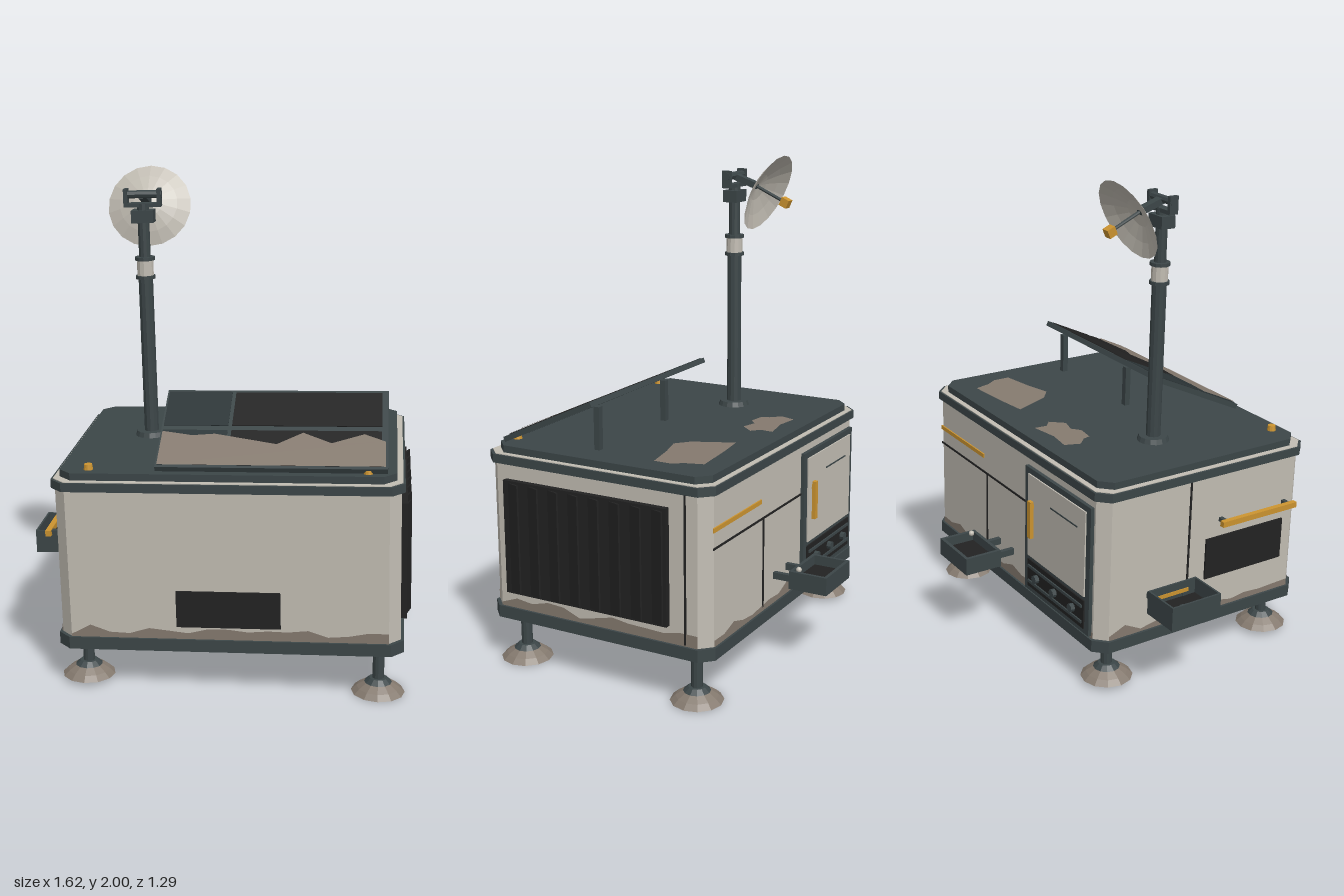
import * as THREE from 'three';

const mat = (name, color) => Object.assign(new THREE.MeshStandardMaterial({ color }), { name });

export function createModel() {
  const light = mat('weathered white', 0xc2bdb3);
  const slate = mat('dark slate', 0x3c4648);
  const deep = mat('deep slate', 0x2c3537);
  const black = mat('black', 0x222222);
  const dirt = mat('dirt', 0x857a6f);
  const orange = mat('orange', 0xcc9430);
  light.side = THREE.DoubleSide;
  dirt.side = THREE.DoubleSide;

  // Helpers
  const flat = (geo) => {
    const g = geo.index ? geo.toNonIndexed() : geo;
    g.computeVertexNormals();
    return g;
  };
  const add = (parent, name, geo, material, x = 0, y = 0, z = 0) => {
    const m = new THREE.Mesh(geo, material);
    m.name = name;
    m.position.set(x, y, z);
    parent.add(m);
    return m;
  };
  const group = (parent, name, x = 0, y = 0, z = 0) => {
    const g = new THREE.Group();
    g.name = name;
    g.position.set(x, y, z);
    parent.add(g);
    return g;
  };
  const box = (p, name, m, w, h, d, x, y, z) => add(p, name, new THREE.BoxGeometry(w, h, d), m, x, y, z);
  const cyl = (p, name, m, r1, r2, h, x, y, z, n = 12) =>
    add(p, name, flat(new THREE.CylinderGeometry(r1, r2, h, n)), m, x, y, z);
  const outline = (pts) => new THREE.Shape(pts.map(([x, y]) => new THREE.Vector2(x, y)));
  // Upright prism with chamfered corners
  const prism = (p, name, m, hx, hz, c, y0, y1) => {
    const s = outline([[-hx + c, -hz], [hx - c, -hz], [hx, -hz + c], [hx, hz - c],
      [hx - c, hz], [-hx + c, hz], [-hx, hz - c], [-hx, -hz + c]]);
    const g = new THREE.ExtrudeGeometry(s, { depth: y1 - y0, bevelEnabled: false });
    return add(p, name, g.rotateX(-Math.PI / 2), m, 0, y0, 0);
  };
  // Flat patch lying on a horizontal surface, points given as x, z
  const patch = (p, name, m, pts, y) =>
    add(p, name, new THREE.ShapeGeometry(outline(pts.map(([x, z]) => [x, -z]))).rotateX(-Math.PI / 2), m, 0, y, 0);
  let seed = 7;
  const rnd = () => (seed = (seed * 16807) % 2147483647) / 2147483647;

  const root = new THREE.Group();
  root.name = 'fieldUnit';

  // Feet: sunk plates with a mound of soil around each
  for (const [x, y] of [[-0.48, 0.016], [0.69, 0]]) {
    for (const z of [0.52, -0.29]) {
      const f = group(root, 'foot', x, y, z);
      cyl(f, 'footPlate', slate, 0.07, 0.075, 0.03, 0, 0.015, 0);
      cyl(f, 'footCollar', slate, 0.035, 0.062, 0.025, 0, 0.0475, 0);
      cyl(f, 'leg', slate, 0.023, 0.023, 0.17, 0, 0.135, 0);
      const mound = new THREE.LatheGeometry([new THREE.Vector2(0.107, 0.002), new THREE.Vector2(0.085, 0.022),
        new THREE.Vector2(0.055, 0.042)], 12);
      add(f, 'soilMound', flat(mound), dirt);
    }
  }

  // Cabinet, settled at a slight tilt
  const unit = group(root, 'cabinet', 0.107, 0, 0.114);
  unit.rotation.set(0.013, 0, 0.0245);
  prism(unit, 'base', slate, 0.685, 0.515, 0.05, 0.19, 0.24);
  prism(unit, 'walls', light, 0.672, 0.503, 0.045, 0.24, 0.85);
  prism(unit, 'rim', slate, 0.686, 0.517, 0.05, 0.848, 0.883);
  prism(unit, 'rimSeal', light, 0.678, 0.51, 0.05, 0.883, 0.886);
  prism(unit, 'roof', slate, 0.655, 0.487, 0.05, 0.884, 0.915);
  patch(unit, 'bellyPlate', light, [[0.66, -0.47], [0.66, 0.49], [-0.64, 0.49]], 0.188);
  patch(unit, 'roofDirt', dirt, [[-0.246, -0.409], [-0.146, -0.396], [-0.028, -0.417], [-0.033, -0.361],
    [0.002, -0.33], [-0.046, -0.274], [-0.111, -0.291], [-0.146, -0.261], [-0.22, -0.27], [-0.229, -0.304],
    [-0.268, -0.343]], 0.918);
  patch(unit, 'roofDirt', dirt, [[0.185, -0.361], [0.31, -0.378], [0.506, -0.396], [0.528, -0.322],
    [0.558, -0.278], [0.558, -0.204], [0.419, -0.178], [0.315, -0.148], [0.258, -0.196]], 0.918);
  cyl(unit, 'beacon', orange, 0.016, 0.019, 0.022, -0.54, 0.926, 0.434);
  cyl(unit, 'beacon', orange, 0.016, 0.019, 0.016, 0.545, 0.921, 0.447);

  // Wall groups: local +z points outwards; each gets a ragged dirt line
  const wall = (name, angle, dist, half) => {
    const g = group(unit, name, Math.sin(angle) * dist, 0, Math.cos(angle) * dist);
    g.rotation.y = angle;
    const pts = [[-half, 0.24]];
    for (let i = 0, n = Math.round(half * 26); i <= n; i++) {
      pts.push([-half + (2 * half * i) / n, 0.25 + 0.045 * rnd()]);
    }
    pts.push([half, 0.24]);
    add(g, 'dirtLine', new THREE.ShapeGeometry(outline(pts)), dirt, 0, 0, 0.003);
    return g;
  };
  const front = wall('frontWall', 0, 0.503, 0.627);
  const right = wall('leftSideWall', Math.PI / 2, 0.672, 0.458);
  const back = wall('backWall', Math.PI, 0.503, 0.627);
  const left = wall('rightSideWall', -Math.PI / 2, 0.672, 0.458);

  box(front, 'frontVent', black, 0.41, 0.15, 0.008, 0.002, 0.367, 0.004);

  // Large louvred radiator
  box(right, 'radiator', black, 0.75, 0.475, 0.024, -0.04, 0.548, 0.012);
  for (let i = 0; i < 8; i++) {
    const s = box(right, 'radiatorSlat', black, 0.07, 0.455, 0.008, -0.37 + i * 0.0945, 0.548, 0.026);
    s.rotation.y = -0.3;
  }
  box(right, 'seam', black, 0.008, 0.6, 0.004, 0.405, 0.545, 0.002);

  // Service door
  const door = group(back, 'serviceDoor', 0.372, 0, 0);
  box(door, 'doorFrame', slate, 0.49, 0.56, 0.016, 0, 0.53, 0.008);
  box(door, 'doorPanel', light, 0.43, 0.37, 0.008, 0, 0.6, 0.018);
  box(door, 'doorSeam', slate, 0.2, 0.006, 0.003, 0.06, 0.7, 0.023);
  box(door, 'controlPanel', black, 0.43, 0.125, 0.008, 0, 0.335, 0.018);
  for (const y of [0.3, 0.37]) box(door, 'controlRail', slate, 0.41, 0.012, 0.012, 0, y, 0.022);
  for (const x of [-0.137, 0, 0.138]) {
    cyl(door, 'controlKnob', slate, 0.018, 0.018, 0.024, x, 0.335, 0.028, 8).rotation.x = Math.PI / 2;
  }
  box(door, 'doorHandle', orange, 0.024, 0.165, 0.016, -0.175, 0.595, 0.034);
  for (const y of [0.535, 0.655]) box(door, 'handlePost', orange, 0.016, 0.018, 0.02, -0.175, y, 0.018);

  // Back wall panel lines and marker stripe
  box(back, 'markerStripe', orange, 0.39, 0.018, 0.006, -0.44, 0.71, 0.003);
  box(back, 'seam', black, 0.76, 0.008, 0.004, -0.255, 0.635, 0.002);
  box(back, 'seam', black, 0.008, 0.38, 0.004, -0.22, 0.445, 0.002);

  // Side vent, seam and grab rail
  box(left, 'sideVent', black, 0.4, 0.18, 0.008, 0.206, 0.48, 0.004);
  box(left, 'seam', black, 0.008, 0.6, 0.004, -0.08, 0.545, 0.002);
  box(left, 'grabRail', orange, 0.385, 0.024, 0.022, 0.243, 0.645, 0.045);
  for (const x of [0.078, 0.408]) box(left, 'railPost', slate, 0.018, 0.016, 0.045, x, 0.645, 0.018);

  // Open trays carried on two arms: w along the wall, d outwards
  const tray = (p, x, y, w, h, d, rim, armX) => {
    const t = group(p, 'tray', x, y, 0.178 - 0.002);
    const rect = (a, b) => [[-a, -b], [a, -b], [a, b], [-a, b]];
    const s = outline(rect(w / 2, d / 2));
    s.holes.push(new THREE.Path(rect(w / 2 - rim, d / 2 - rim).reverse().map(([a, b]) => new THREE.Vector2(a, b))));
    const g = new THREE.ExtrudeGeometry(s, { depth: h, bevelEnabled: false }).rotateX(-Math.PI / 2);
    add(t, 'trayWalls', g, slate, 0, -h / 2, 0);
    box(t, 'trayBottom', slate, w - 0.002, 0.01, d - 0.002, 0, -h / 2 + 0.006, 0);
    box(t, 'trayFloor', black, w - 2 * rim, 0.01, d - 2 * rim, 0, -h / 2 + 0.03, 0);
    for (const ax of armX) box(t, 'trayArm', slate, 0.02, 0.028, 0.11, ax, -0.014, -d / 2 - 0.045);
    return t;
  };
  const backTray = tray(back, -0.057, 0.372, 0.23, 0.075, 0.165, 0.014, [-0.058, 0.057]);
  add(backTray, 'trayKnob', new THREE.SphereGeometry(0.012, 10, 8), light, -0.085, 0.04, -0.052);
  const sideTray = tray(left, -0.209, 0.41, 0.235, 0.1, 0.165, 0.008, [-0.06, 0.057]);
  sideTray.position.z = 0.154;
  box(sideTray, 'trayStripe', orange, 0.15, 0.016, 0.004, 0, 0.01, -0.073);
  cyl(sideTray, 'trayDrain', slate, 0.018, 0.018, 0.004, 0, -0.014, 0, 8);

  // Solar panel: hinged at its front edge, propped at the back
  const solar = group(unit, 'solarPanel', 0.172, 0.927, 0.459);
  solar.rotation.x = 0.437;
  box(solar, 'solarFrame', slate, 0.895, 0.022, 0.462, 0, 0, -0.231);
  const cell = (m, x0, x1, v0, v1) =>
    box(solar, 'solarCell', m, x1 - x0, 0.004, v1 - v0, (x0 + x1) / 2, 0.012, -(v0 + v1) / 2);
  cell(deep, -0.44, -0.182, 0.243, 0.45);
  cell(deep, -0.44, -0.182, 0.015, 0.215);
  cell(black, -0.167, 0.423, 0.243, 0.447);
  cell(black, -0.167, 0.423, 0.015, 0.215);
  patch(solar, 'solarDirt', dirt, [[-0.44, -0.01], [0.439, -0.01], [0.439, -0.152], [0.356, -0.194], [0.23, -0.14],
    [0.117, -0.2], [0.017, -0.132], [-0.166, -0.175], [-0.23, -0.19], [-0.318, -0.18], [-0.44, -0.204]], 0.0165);
  for (const x of [0.52, 0.015]) box(unit, 'panelProp', slate, 0.025, 0.18, 0.025, x, 1.0, 0.073);

  // Mast
  const mast = group(unit, 'mast', -0.37, 0.008, -0.056);
  cyl(mast, 'mastFlange', slate, 0.06, 0.068, 0.022, 0, 0.916, 0, 16);
  cyl(mast, 'lowerMast', slate, 0.03, 0.03, 0.66, 0, 1.245, 0);
  cyl(mast, 'mastCollar', slate, 0.041, 0.041, 0.014, 0, 1.577, 0);
  cyl(mast, 'mastBand', light, 0.034, 0.034, 0.062, 0, 1.615, 0);
  cyl(mast, 'mastCollar', slate, 0.041, 0.041, 0.014, 0, 1.653, 0);
  cyl(mast, 'upperMast', slate, 0.024, 0.024, 0.16, 0, 1.735, 0);
  box(mast, 'mastHead', slate, 0.09, 0.05, 0.065, 0, 1.825, 0);
  cyl(mast, 'headPivot', slate, 0.024, 0.024, 0.03, 0, 1.86, 0);
  box(mast, 'yokeBase', slate, 0.15, 0.016, 0.04, 0, 1.87, 0);
  for (const x of [-0.068, 0.068]) box(mast, 'yokeArm', slate, 0.016, 0.07, 0.04, x, 1.9, 0);
  cyl(mast, 'yokeAxle', slate, 0.016, 0.016, 0.155, 0, 1.912, -0.003, 8).rotation.z = Math.PI / 2;
  box(mast, 'dishArm', slate, 0.034, 0.026, 0.115, 0, 1.89, -0.056).rotation.x = -0.33;

  // Dish and its receiver, facing backwards and down
  const dish = group(mast, 'dish', 0, 1.87, -0.107);
  dish.rotation.x = -2.0;
  const profile = [[0.001, 0], [0.06, 0.011], [0.12, 0.034], [0.173, 0.06]].map(([r, h]) => new THREE.Vector2(r, h));
  add(dish, 'dishBowl', flat(new THREE.LatheGeometry(profile, 18)), light);
  cyl(dish, 'feedRod', slate, 0.007, 0.007, 0.14, 0, 0.07, 0, 8);
  box(dish, 'receiver', orange, 0.036, 0.036, 0.036, 0, 0.148, 0);

  return root;
}
